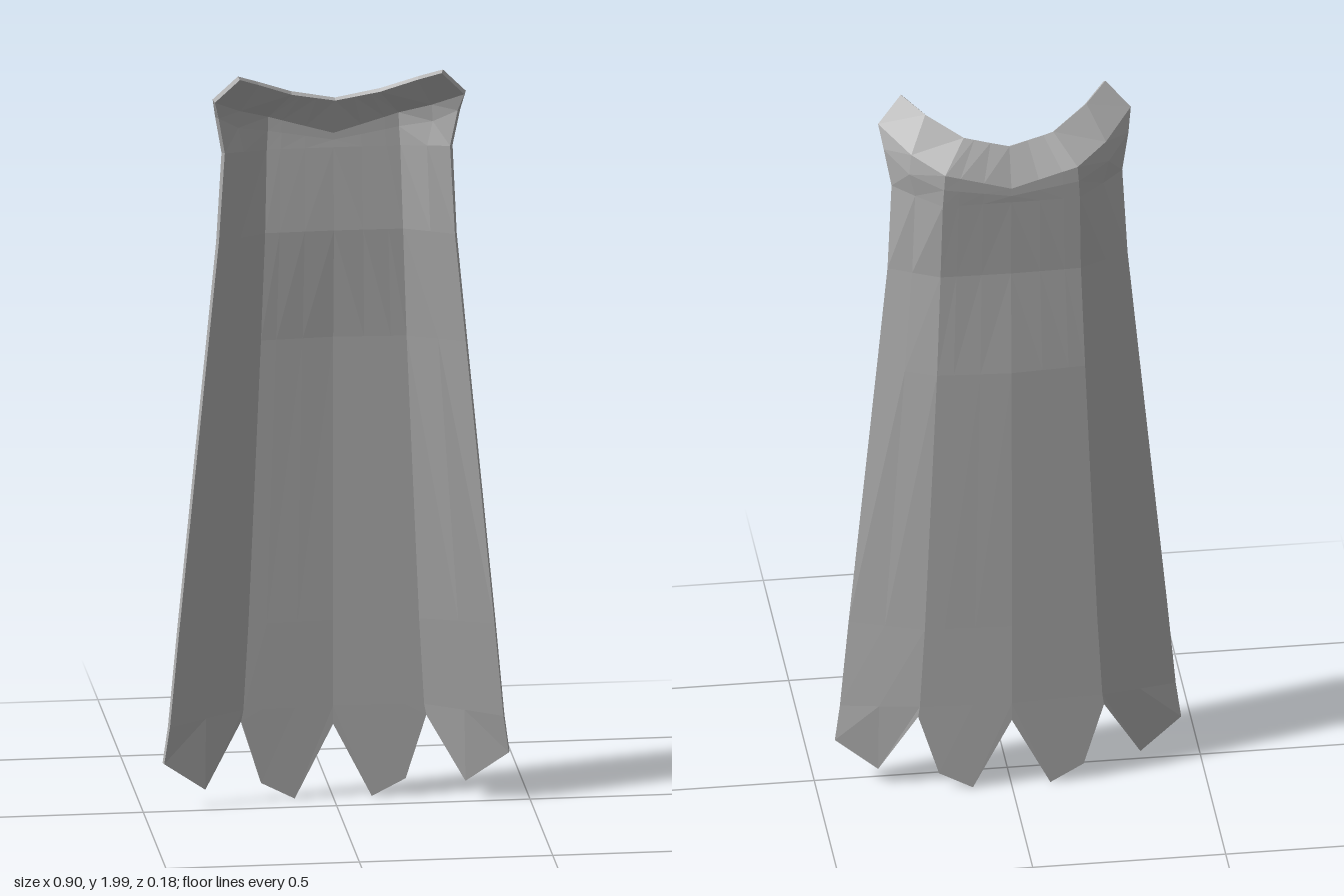
import * as THREE from 'three';

const THICKNESS = 0.012;

// Half cross-sections from top to bottom: [x, y, z] at centre, crease, side, edge
const SECTIONS = [
  [[0, 1.89, -0.036], [0.115, 1.915, -0.021], [0.207, 1.96, 0.032], [0.263, 1.992, 0.086]], // collar rim
  [[0, 1.79, -0.078], [0.17, 1.84, -0.078], [0.25, 1.875, -0.022], [0.325, 1.925, 0.06]], // collar base
  [[0, 1.77, -0.078], [0.172, 1.8, -0.078], [0.255, 1.825, -0.03], [0.313, 1.87, 0.028]],
  [[0, 1.75, -0.076], [0.175, 1.75, -0.075], [0.24, 1.76, -0.03], [0.295, 1.77, 0.012]],
  [[0, 1.53, -0.066], [0.18, 1.53, -0.062], [0.248, 1.53, -0.03], [0.308, 1.53, 0]],
  [[0, 1.24, -0.082], [0.19, 1.24, -0.07], [0.268, 1.24, -0.036], [0.336, 1.24, -0.002]],
  [[0, 0.48, -0.083], [0.222, 0.48, -0.07], [0.32, 0.48, -0.036], [0.41, 0.48, -0.004]],
  [[0, 0.25, -0.084], [0.235, 0.25, -0.07], [0.336, 0.24, -0.038], [0.433, 0.23, -0.005]],
];

// Torn hem: notches and points for all six half columns
const HEM = [
  [0, 0.2, -0.084], [0.1, 0.004, -0.081], [0.187, 0.05, -0.076],
  [0.24, 0.22, -0.07], [0.338, 0.05, -0.034], [0.447, 0.13, -0.009],
];

const lerp = (a, b, t) => a.map((v, i) => v + (b[i] - v) * t);

// Mirrors a half row into a full row, from the right edge to the left edge
function fullRow(half) {
  const mirrored = half.slice(1).reverse().map(([x, y, z]) => [-x, y, z]);
  return [...mirrored, ...half];
}

// Thickens a grid of points along its normals and closes the border
function clothGeometry(rows) {
  const w = rows[0].length, h = rows.length, n = w * h;
  const at = (r, c) => r * w + c;
  const front = [];
  for (let r = 0; r < h - 1; r++) {
    for (let c = 0; c < w - 1; c++) {
      const a = at(r, c), b = at(r + 1, c), d = at(r + 1, c + 1), e = at(r, c + 1);
      // diagonals mirror about the centre line
      if (c < (w - 1) / 2) front.push(a, b, e, b, d, e);
      else front.push(a, b, d, a, d, e);
    }
  }
  const sheet = new THREE.BufferGeometry();
  sheet.setAttribute('position', new THREE.Float32BufferAttribute(rows.flat(2), 3));
  sheet.setIndex(front);
  sheet.computeVertexNormals();
  const p = sheet.attributes.position.array, nor = sheet.attributes.normal.array;

  const positions = [];
  for (const side of [0.5, -0.5]) {
    for (let i = 0; i < n * 3; i++) positions.push(p[i] + nor[i] * THICKNESS * side);
  }
  const index = [...front];
  for (let i = 0; i < front.length; i += 3) {
    index.push(front[i] + n, front[i + 2] + n, front[i + 1] + n);
  }
  // Border loop runs counter-clockwise seen from the front
  const loop = [];
  for (let r = 0; r < h - 1; r++) loop.push(at(r, 0));
  for (let c = 0; c < w - 1; c++) loop.push(at(h - 1, c));
  for (let r = h - 1; r > 0; r--) loop.push(at(r, w - 1));
  for (let c = w - 1; c > 0; c--) loop.push(at(0, c));
  loop.forEach((a, i) => {
    const b = loop[(i + 1) % loop.length];
    index.push(a, a + n, b, b, a + n, b + n);
  });

  const solid = new THREE.BufferGeometry();
  solid.setAttribute('position', new THREE.Float32BufferAttribute(positions, 3));
  solid.setIndex(index);
  const faceted = solid.toNonIndexed();
  faceted.computeVertexNormals();
  return faceted;
}

export function createModel() {
  const cloth = new THREE.MeshStandardMaterial({ color: 0xb2b2b2 });
  cloth.name = 'grey cloth';

  const rows = SECTIONS.map(([centre, crease, side, edge]) =>
    fullRow([centre, lerp(centre, crease, 0.42), lerp(centre, crease, 0.78), crease, side, edge]));
  rows.push(fullRow(HEM));

  const cape = new THREE.Mesh(clothGeometry(rows), cloth);
  cape.name = 'cape';

  const group = new THREE.Group();
  group.name = 'tatteredCape';
  group.add(cape);
  return group;
}
